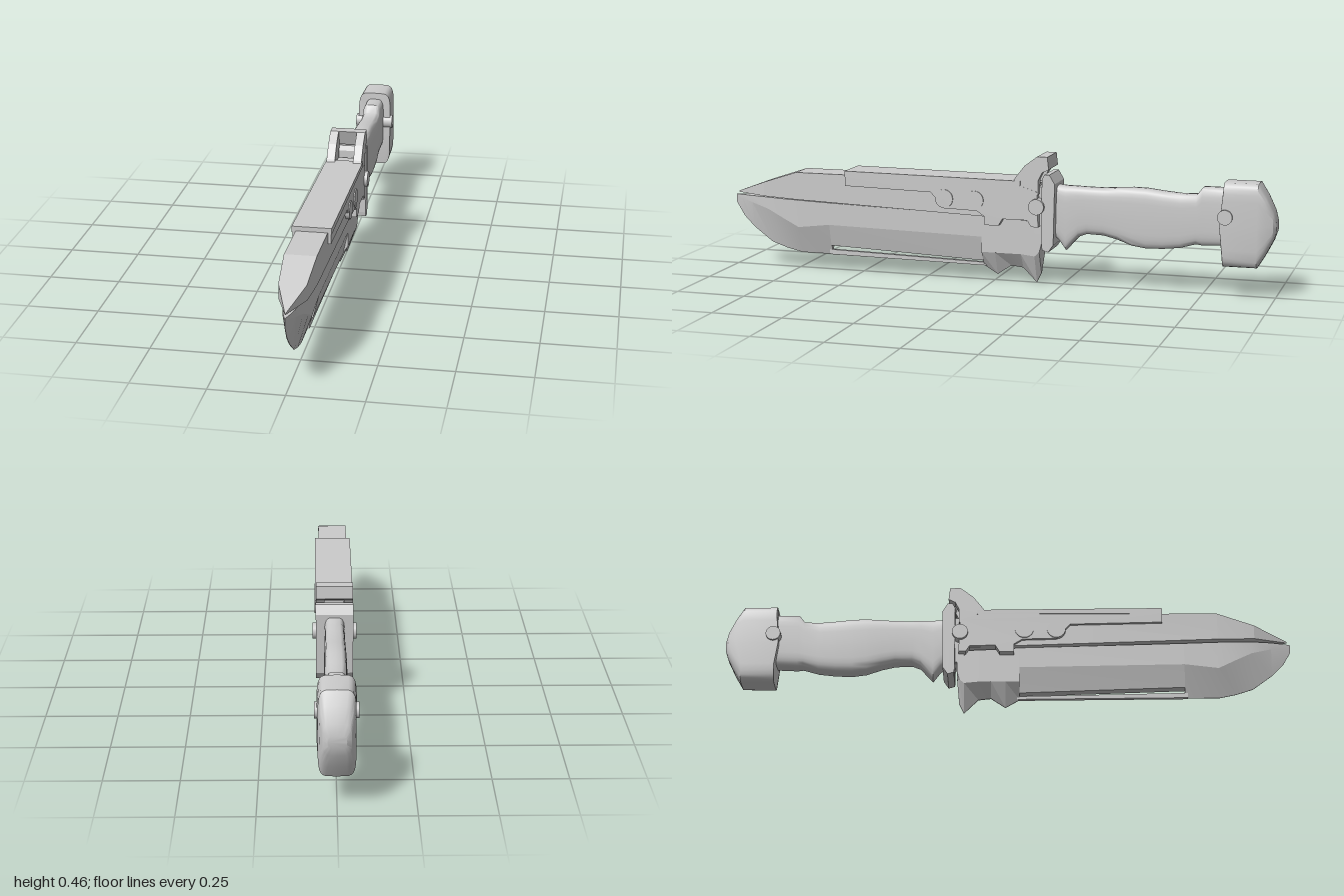
import * as THREE from 'three';
import { toCreasedNormals } from 'three/addons/utils/BufferGeometryUtils.js';

const material = new THREE.MeshStandardMaterial({ color: 0xcccccc, side: THREE.DoubleSide });

export function createModel() {
  const model = new THREE.Group();

  function add(name, geometry) {
    const mesh = new THREE.Mesh(geometry, material);
    mesh.name = name;
    model.add(mesh);
    return mesh;
  }

  // Side outline of [z, y] points, given thickness from x0 to x1
  function slab(name, outline, x0, x1) {
    const shape = new THREE.Shape(outline.map(([z, y]) => new THREE.Vector2(z, y)));
    const g = new THREE.ExtrudeGeometry(shape, { depth: x1 - x0, bevelEnabled: false });
    return add(name, g.rotateY(-Math.PI / 2).translate(x1, 0, 0));
  }

  // Skin over rings of [x, y, z], counter-clockwise from the front, back ring first
  function loft(name, rings, crease = 0.3) {
    const n = rings[0].length, index = [];
    for (let r = 0; r < rings.length - 1; r++) {
      for (let i = 0; i < n; i++) {
        const a = r * n + i, b = r * n + (i + 1) % n;
        index.push(a, b, b + n, a, b + n, a + n);
      }
    }
    const last = (rings.length - 1) * n;
    for (let i = 1; i < n - 1; i++) index.push(0, i + 1, i, last, last + i, last + i + 1);
    const g = new THREE.BufferGeometry();
    g.setAttribute('position', new THREE.Float32BufferAttribute(rings.flat(2), 3));
    g.setIndex(index);
    return add(name, toCreasedNormals(g, crease));
  }

  // Disc lying across x, from x0 outwards to x1, on both sides
  function studs(name, z, y, radius, x0, x1) {
    for (const s of [-1, 1]) {
      const g = new THREE.CylinderGeometry(radius, radius, x1 - x0, 20).rotateZ(Math.PI / 2);
      add(name, g).position.set(s * (x0 + x1) / 2, y, z);
    }
  }

  // Upper blade: [z, top, bottom, half width]
  loft('upperBlade', [
    [-0.17, 0.365, 0.235, 0.053], [0.74, 0.365, 0.265, 0.053],
    [0.87, 0.322, 0.27, 0.045], [0.99, 0.277, 0.273, 0.001],
  ].map(([z, t, b, w]) => [[w, b, z], [w, t, z], [-w, t, z], [-w, b, z]]), 0.1);

  // Lower blade sections: [z, top, bevel, edge, half width, half edge]
  const bladeRing = ([z, t, v, e, w, k]) =>
    [[k, e, z], [w, v, z], [w, t, z], [-w, t, z], [-w, v, z], [-k, e, z]];
  loft('bladeHeel', [
    [-0.18, 0.23, 0.15, 0.13, 0.037, 0.02], [-0.172, 0.23, 0.12, 0.04, 0.037, 0.003],
    [-0.155, 0.23, 0.105, 0.004, 0.037, 0.001], [-0.105, 0.232, 0.11, 0.055, 0.037, 0.002],
    [-0.06, 0.234, 0.11, 0.06, 0.037, 0.002], [-0.01, 0.236, 0.11, 0.025, 0.037, 0.001],
    [0.04, 0.24, 0.11, 0.055, 0.037, 0.002],
  ].map(bladeRing), 0.1);
  loft('lowerBlade', [
    [0.04, 0.24, 0.165, 0.075, 0.037, 0.017], [0.62, 0.256, 0.175, 0.095, 0.037, 0.017],
  ].map(bladeRing), 0.1);
  loft('bladeBelly', [
    [0.62, 0.256, 0.175, 0.06, 0.037, 0.001], [0.74, 0.26, 0.16, 0.06, 0.037, 0.001],
    [0.80, 0.262, 0.19, 0.073, 0.036, 0.001], [0.86, 0.264, 0.22, 0.093, 0.031, 0.001],
    [0.93, 0.265, 0.24, 0.145, 0.02, 0.001], [0.97, 0.265, 0.25, 0.185, 0.01, 0.001],
    [1.0, 0.265, 0.26, 0.235, 0.001, 0.0005],
  ].map(bladeRing), 0.2);

  // Thin cutting strip below the slot
  slab('edgeStrip', [[0.03, 0.055], [0.63, 0.06], [0.63, 0.078], [0.03, 0.066]], -0.007, 0.007);

  // Cover over the spine with side cheeks stepping down around the buttons
  slab('spineCover', [[-0.11, 0.36], [0.545, 0.36], [0.545, 0.381], [-0.11, 0.376]], -0.066, 0.066);
  const cheek = [
    [0.545, 0.362], [-0.1, 0.362], [-0.17, 0.34], [-0.175, 0.215], [-0.15, 0.215], [-0.135, 0.238],
    [-0.045, 0.238], [-0.03, 0.213], [0.02, 0.213], [0.02, 0.243], [0.05, 0.262], [0.17, 0.265],
    [0.22, 0.32], [0.545, 0.327],
  ];
  const horn = [
    [-0.08, 0.365], [-0.09, 0.385], [-0.125, 0.43], [-0.17, 0.464], [-0.207, 0.464],
    [-0.212, 0.42], [-0.188, 0.408], [-0.174, 0.38], [-0.174, 0.33], [-0.1, 0.33],
  ];
  for (const s of [-1, 1]) {
    slab('coverCheek', cheek, s > 0 ? 0.036 : -0.064, s > 0 ? 0.064 : -0.036);
    slab('hornCheek', horn, s > 0 ? 0.033 : -0.063, s > 0 ? 0.063 : -0.033);
  }
  slab('hornBridge', [[-0.17, 0.464], [-0.207, 0.464], [-0.212, 0.42], [-0.19, 0.409]], -0.034, 0.034);

  // Round buttons and pins
  studs('button', 0.17, 0.3, 0.033, 0.04, 0.068);
  studs('button', 0.057, 0.3, 0.033, 0.04, 0.068);
  studs('guardPin', -0.17, 0.288, 0.028, 0.04, 0.076);
  studs('pommelPin', -0.83, 0.286, 0.026, 0.03, 0.071);

  // Guard with chamfered rear edges
  slab('guard', [
    [-0.188, 0.15], [-0.188, 0.385], [-0.197, 0.402], [-0.215, 0.402], [-0.234, 0.37],
    [-0.23, 0.155], [-0.212, 0.128], [-0.19, 0.135],
  ], -0.064, 0.064);
  add('guardBridge', new THREE.BoxGeometry(0.08, 0.17, 0.05)).position.set(0, 0.27, -0.18);

  // Rounded-square ring for the handle parts
  function roundRing(z, top, bottom, w, power, shift = () => 0) {
    const ring = [];
    for (let i = 0; i < 28; i++) {
      const a = i / 28 * Math.PI * 2, c = Math.cos(a), s = Math.sin(a);
      const y = (top + bottom) / 2 + (top - bottom) / 2 * Math.sign(s) * Math.abs(s) ** power;
      ring.push([w * Math.sign(c) * Math.abs(c) ** power, y, z + shift(y)]);
    }
    return ring;
  }

  // Grip: [z, top, bottom, half width]
  loft('grip', [
    [-0.85, 0.378, 0.18, 0.036], [-0.745, 0.378, 0.175, 0.036], [-0.725, 0.352, 0.178, 0.036],
    [-0.67, 0.35, 0.162, 0.037], [-0.61, 0.355, 0.155, 0.038], [-0.55, 0.362, 0.153, 0.038],
    [-0.50, 0.363, 0.16, 0.038], [-0.45, 0.36, 0.178, 0.037], [-0.40, 0.356, 0.19, 0.036],
    [-0.34, 0.356, 0.192, 0.035], [-0.31, 0.357, 0.18, 0.035], [-0.265, 0.358, 0.13, 0.035],
    [-0.24, 0.36, 0.165, 0.035], [-0.215, 0.36, 0.185, 0.035],
  ].map(([z, t, b, w]) => roundRing(z, t, b, w, 0.45)), 0.9);

  // Pommel, its front lip swelling forward around the pin
  const lip = y => 0.02 * Math.exp(-(((y - 0.286) / 0.04) ** 2));
  loft('pommel', [
    roundRing(-1.0, 0.275, 0.235, 0.03, 0.5), roundRing(-0.99, 0.31, 0.205, 0.045, 0.5),
    roundRing(-0.965, 0.36, 0.155, 0.055, 0.42), roundRing(-0.938, 0.402, 0.11, 0.06, 0.36),
    roundRing(-0.822, 0.402, 0.11, 0.063, 0.36, lip),
  ], 0.55);

  return model;
}
